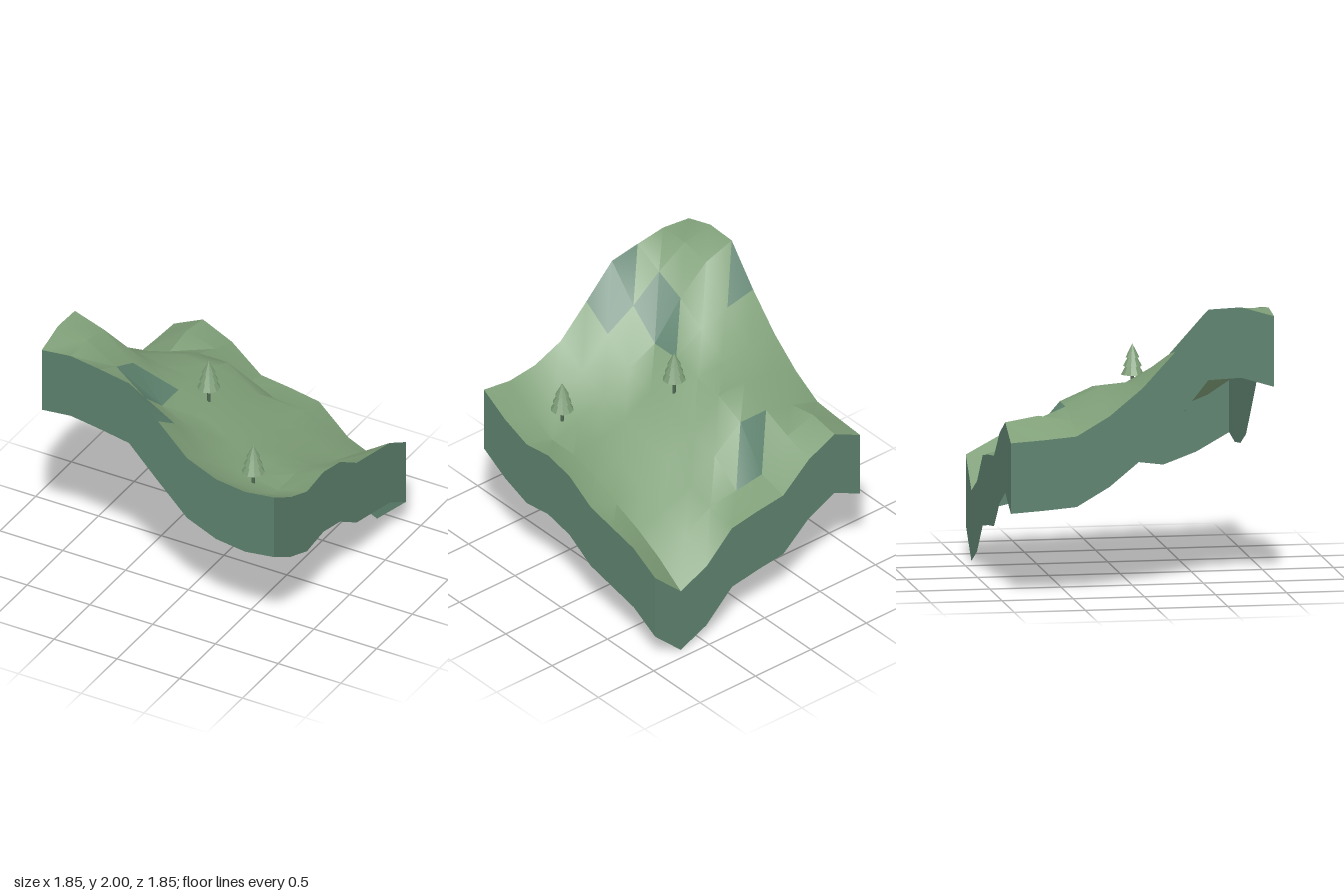
import * as THREE from 'three';
import { toCreasedNormals } from 'three/addons/utils/BufferGeometryUtils.js';

const N = 8, HALF = 0.925, THICK = 0.495;

// Ground heights: one row per z step (back to front), one column per x step.
const HEIGHTS = [
  [1.09, 1.20, 1.09, 0.89, 0.86, 0.82, 0.60, 0.495, 0.71],
  [1.105, 1.24, 1.165, 0.945, 0.91, 0.88, 0.74, 0.65, 0.835],
  [1.125, 1.20, 1.26, 1.26, 1.08, 0.93, 0.83, 0.77, 0.885],
  [1.26, 1.33, 1.38, 1.36, 1.15, 1.00, 0.90, 0.86, 0.935],
  [1.45, 1.45, 1.42, 1.38, 1.23, 1.07, 1.00, 0.97, 1.075],
  [1.70, 1.65, 1.57, 1.43, 1.25, 1.12, 1.05, 1.03, 1.125],
  [1.99, 1.91, 1.71, 1.43, 1.32, 1.17, 1.07, 1.03, 1.095],
  [2.00, 1.955, 1.81, 1.625, 1.49, 1.27, 1.16, 1.12, 1.18],
  [1.93, 1.955, 1.92, 1.88, 1.64, 1.41, 1.31, 1.28, 1.31],
];

// Steep bare triangles: column, row, half of the cell (a = back left, b = front right)
const ROCKY = new Set(['2,1,b', '3,1,a', '0,5,a', '2,5,b', '2,6,a', '2,6,b', '2,7,b', '3,7,a', '3,7,b']);

const at = (k) => -HALF + (2 * HALF * k) / N;
const point = (i, j) => [at(i), HEIGHTS[j][i], at(j)];

function material(name, color, open = false) {
  const m = new THREE.MeshStandardMaterial({ color });
  m.name = name;
  if (open) m.side = THREE.DoubleSide;
  return m;
}

function mesh(name, geometry, mat) {
  const m = new THREE.Mesh(geometry, mat);
  m.name = name;
  return m;
}

function geometryFrom(positions) {
  const g = new THREE.BufferGeometry();
  g.setAttribute('position', new THREE.Float32BufferAttribute(positions, 3));
  return g;
}

// Sloping surface: grass triangles first, then rocky ones as a second group
function groundGeometry() {
  const grass = [], rock = [];
  for (let j = 0; j < N; j++) {
    for (let i = 0; i < N; i++) {
      const a = point(i, j), b = point(i, j + 1), c = point(i + 1, j), d = point(i + 1, j + 1);
      (ROCKY.has(`${i},${j},a`) ? rock : grass).push(...a, ...b, ...c);
      (ROCKY.has(`${i},${j},b`) ? rock : grass).push(...c, ...b, ...d);
    }
  }
  const g = toCreasedNormals(geometryFrom([...grass, ...rock]), 0.55);
  g.addGroup(0, grass.length / 3, 0);
  g.addGroup(grass.length / 3, rock.length / 3, 1);
  return g;
}

// Vertical strip hanging from one edge of the ground
function wallGeometry(edge) {
  const positions = [];
  const drop = ([x, y, z]) => [x, y - THICK, z];
  for (let k = 0; k < N; k++) {
    const p = edge(k), q = edge(k + 1);
    positions.push(...p, ...drop(p), ...q, ...q, ...drop(p), ...drop(q));
  }
  const g = geometryFrom(positions);
  g.computeVertexNormals();
  return g;
}

// Fir tree with three overlapping tiers
function createTree(foliage, bark) {
  const tree = new THREE.Group();
  tree.name = 'tree';
  const trunk = mesh('trunk', new THREE.CylinderGeometry(0.011, 0.013, 0.18, 8), bark);
  trunk.position.y = 0.07;
  tree.add(trunk);
  for (const [radius, bottom, top] of [[0.081, 0.125, 0.27], [0.066, 0.185, 0.305], [0.048, 0.245, 0.34]]) {
    const tier = mesh('foliageTier', new THREE.ConeGeometry(radius, top - bottom, 10).toNonIndexed(), foliage);
    tier.geometry.computeVertexNormals();
    tier.position.y = (bottom + top) / 2;
    tree.add(tier);
  }
  return tree;
}

export function createModel() {
  const model = new THREE.Group();
  model.name = 'hillside';

  const grass = material('grass green', 0x7f9f78, true);
  const rock = material('rock green', 0x5d816d, true);
  const foliage = material('foliage green', 0x7c9c76);
  const bark = material('bark green', 0x4f6852);

  model.add(mesh('ground', groundGeometry(), [grass, rock]));

  // Outer walls, open underneath
  const walls = {
    frontWall: (k) => point(k, N),
    rightWall: (k) => point(N, N - k),
    backWall: (k) => point(N - k, 0),
    leftWall: (k) => point(0, k),
  };
  for (const [name, edge] of Object.entries(walls)) model.add(mesh(name, wallGeometry(edge), rock));

  // Two trees on the slope
  for (const [x, y, z] of [[-0.08, 1.285, 0.073], [0.54, 1.057, 0.54]]) {
    const tree = createTree(foliage, bark);
    tree.position.set(x, y, z);
    model.add(tree);
  }
  return model;
}
